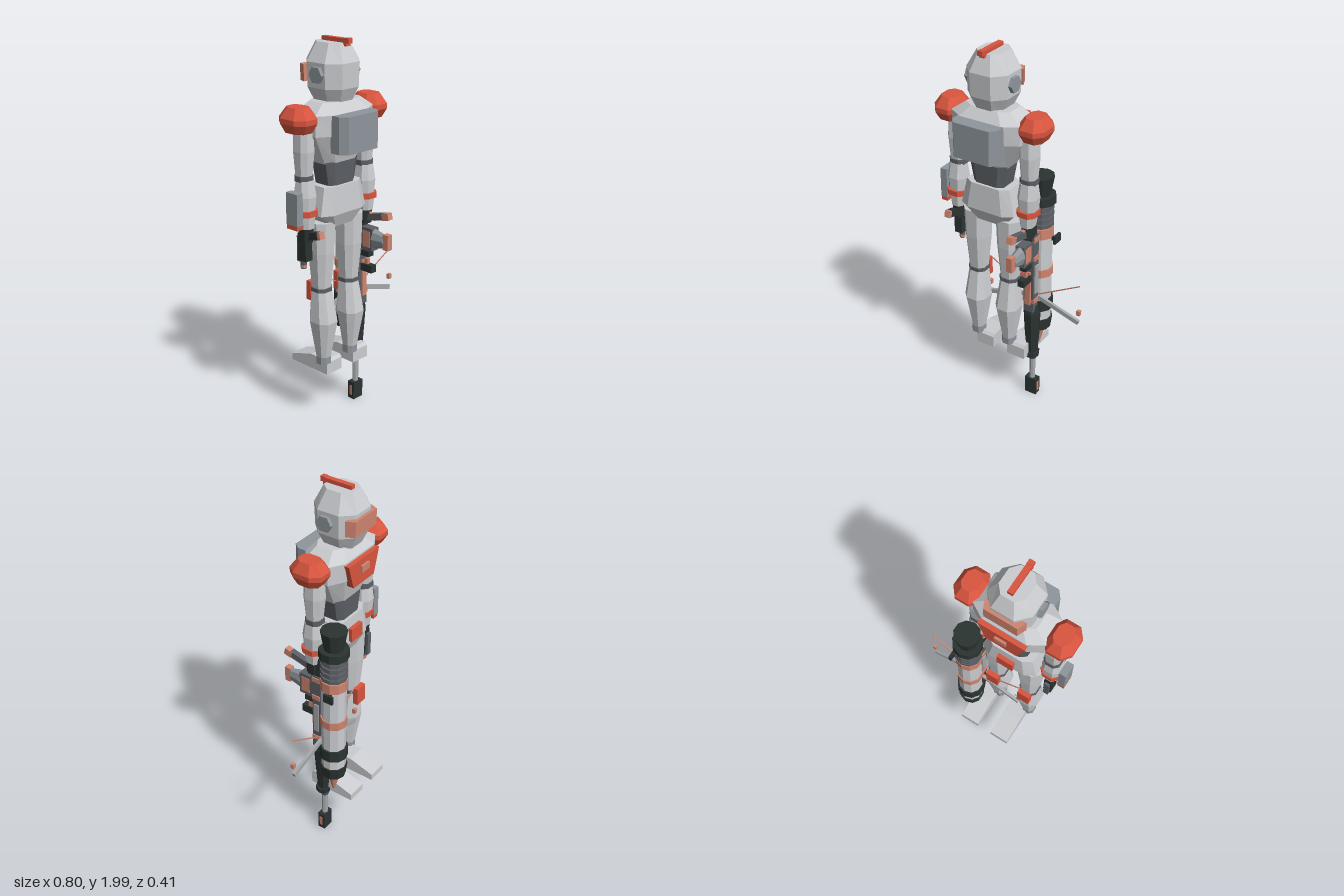
import * as THREE from 'three';

const paint = (name, color) => {
  const m = new THREE.MeshStandardMaterial({ color, flatShading: true });
  m.name = name;
  return m;
};
const M = {
  shell: paint('light grey shell', 0xcbcdd0),
  steel: paint('steel grey', 0x8f969c),
  metal: paint('gun grey', 0xa5a8aa),
  dark: paint('dark grey', 0x5c6066),
  black: paint('green black', 0x2b3432),
  red: paint('red', 0xd9553f),
  copper: paint('copper', 0xd08570),
};

// Faceted body through octagonal rings [y, halfX, halfZ, shiftX, shiftZ], bottom to top
function loft(parent, name, mat, x, z, rings, c = 0.5) {
  const pos = [];
  const corners = rings.map(([y, hx, hz, sx = 0, sz = 0]) =>
    [[1, -c], [1, c], [c, 1], [-c, 1], [-1, c], [-1, -c], [-c, -1], [c, -1]]
      .map(([a, b]) => [x + sx + a * hx, y, z + sz + b * hz]));
  const tri = (...p) => p.forEach((v) => pos.push(...v));
  for (let r = 0; r < corners.length - 1; r++) {
    const lo = corners[r], hi = corners[r + 1];
    for (let i = 0; i < 8; i++) {
      const j = (i + 1) % 8;
      tri(lo[i], hi[i], hi[j]);
      tri(lo[i], hi[j], lo[j]);
    }
  }
  const top = corners[corners.length - 1];
  for (let i = 1; i < 7; i++) {
    tri(corners[0][0], corners[0][i], corners[0][i + 1]);
    tri(top[0], top[i + 1], top[i]);
  }
  const g = new THREE.BufferGeometry();
  g.setAttribute('position', new THREE.Float32BufferAttribute(pos, 3));
  g.computeVertexNormals();
  return add(parent, name, g, mat);
}

function add(parent, name, geo, mat, x = 0, y = 0, z = 0) {
  const m = new THREE.Mesh(geo, mat);
  m.name = name;
  m.position.set(x, y, z);
  parent.add(m);
  return m;
}
const box = (p, n, mat, x, y, z, w, h, d) => add(p, n, new THREE.BoxGeometry(w, h, d), mat, x, y, z);

// Upright tube from y0 to y1
const tube = (p, n, mat, x, z, y0, y1, r0, r1 = r0, sides = 10) =>
  add(p, n, new THREE.CylinderGeometry(r1, r0, y1 - y0, sides), mat, x, (y0 + y1) / 2, z);

// Straight square bar between two points
function bar(p, n, mat, a, b, w, d = w) {
  const from = new THREE.Vector3(...a), to = new THREE.Vector3(...b);
  const m = box(p, n, mat, 0, 0, 0, w, from.distanceTo(to), d);
  m.position.copy(from).lerp(to, 0.5);
  m.quaternion.setFromUnitVectors(new THREE.Vector3(0, 1, 0), to.sub(from).normalize());
  return m;
}

// Flat outline in XY, given depth along z
function plate(p, n, mat, pts, depth, z) {
  const s = new THREE.Shape(pts.map(([a, b]) => new THREE.Vector2(a, b)));
  return add(p, n, new THREE.ExtrudeGeometry(s, { depth, bevelEnabled: false }), mat, 0, 0, z);
}

function group(parent, name) {
  const g = new THREE.Group();
  g.name = name;
  parent.add(g);
  return g;
}

function buildHead(body) {
  const head = group(body, 'head');
  loft(head, 'helmet', M.shell, 0, -0.01, [
    [1.69, 0.08, 0.085], [1.76, 0.112, 0.115], [1.88, 0.115, 0.12], [1.97, 0.068, 0.08]]);
  box(head, 'crest', M.red, 0, 1.972, 0.01, 0.028, 0.035, 0.16);
  bar(head, 'crestBack', M.red, [0, 1.98, 0.08], [0, 1.98, 0.105], 0.028, 0.025);
  for (const s of [-1, 1]) {
    const ear = add(head, 'earDisc', new THREE.CylinderGeometry(0.042, 0.042, 0.03, 6), M.steel, s * 0.118, 1.825, 0.003);
    ear.rotation.z = Math.PI / 2;
  }
  // Visor wraps round the face
  const visor = plate(head, 'visor', M.copper,
    [[-0.105, 0.1], [-0.085, 0.145], [0.085, 0.145], [0.105, 0.1]].reverse(), 0.08, 0);
  visor.rotation.x = -Math.PI / 2;
  visor.position.y = 1.78;
}

function buildTorso(body) {
  const torso = group(body, 'torso');
  loft(torso, 'chest', M.shell, 0, 0, [
    [1.4, 0.11, 0.07], [1.55, 0.195, 0.11], [1.65, 0.195, 0.115], [1.7, 0.125, 0.075]], 0.6);
  loft(torso, 'waist', M.dark, 0, 0, [[1.27, 0.085, 0.065], [1.42, 0.112, 0.072]], 0.65);
  loft(torso, 'pelvis', M.shell, 0, 0, [
    [1.08, 0.09, 0.06], [1.15, 0.155, 0.09], [1.29, 0.125, 0.08]], 0.65);
  // Backpack slab with clipped corners
  const pack = plate(torso, 'backpack', M.steel,
    [[-0.128, -0.10], [0.128, -0.10], [0.128, -0.155], [0.1, -0.19], [-0.1, -0.19], [-0.128, -0.155]], 0.18, 0);
  pack.rotation.x = -Math.PI / 2;
  pack.position.y = 1.47;
  plate(torso, 'chestPlate', M.red,
    [[-0.085, 1.51], [0.085, 1.51], [0.125, 1.64], [-0.125, 1.64]], 0.04, -0.138);
  box(torso, 'chestButton', M.copper, 0, 1.59, -0.14, 0.06, 0.035, 0.02);
  box(torso, 'beltPlate', M.red, 0, 1.2, -0.093, 0.09, 0.075, 0.025);
}

function buildLimbs(body, s) {
  const leg = group(body, s > 0 ? 'leftLeg' : 'rightLeg');
  const lx = s * 0.097;
  loft(leg, 'thigh', M.shell, lx, 0, [[0.76, 0.045, 0.045], [0.95, 0.06, 0.062], [1.11, 0.066, 0.066]]);
  loft(leg, 'kneeRing', M.dark, lx, 0, [[0.742, 0.05, 0.05], [0.762, 0.05, 0.05]]);
  loft(leg, 'shin', M.shell, lx, 0, [
    [0.38, 0.033, 0.036, 0, 0.01], [0.58, 0.063, 0.068, 0, 0.012], [0.745, 0.046, 0.048]]);
  loft(leg, 'ankle', M.steel, lx, 0.01, [[0.34, 0.035, 0.035], [0.382, 0.035, 0.035]]);
  box(leg, 'kneePad', M.red, lx, 0.73, -0.058, 0.07, 0.1, 0.03);
  const foot = plate(leg, 'foot', M.shell,
    [[-0.088, 0.275], [0.17, 0.275], [0.17, 0.312], [0.03, 0.355], [-0.075, 0.355], [-0.088, 0.34]], 0.108, -0.054);
  foot.rotation.y = Math.PI / 2;
  foot.position.x = lx;
  foot.geometry.translate(0, 0, 0);

  const arm = group(body, s > 0 ? 'leftArm' : 'rightArm');
  const ax = s * 0.208;
  loft(arm, 'shoulderPad', M.red, s * 0.24, 0, [
    [1.575, 0.052, 0.064], [1.62, 0.073, 0.09], [1.645, 0.073, 0.09], [1.695, 0.042, 0.055]]);
  loft(arm, 'upperArm', M.shell, ax, 0, [[1.36, 0.038, 0.038], [1.48, 0.045, 0.05], [1.6, 0.04, 0.045]]);
  loft(arm, 'elbowRing', M.dark, ax, 0, [[1.335, 0.043, 0.043], [1.362, 0.043, 0.043]]);
  loft(arm, 'forearm', M.shell, ax, 0.005, [[1.19, 0.044, 0.046], [1.26, 0.05, 0.052], [1.34, 0.04, 0.04]]);
  loft(arm, 'wristBand', M.red, ax, 0.008, [[1.165, 0.053, 0.056], [1.193, 0.053, 0.056]]);
  loft(arm, 'cuff', M.shell, ax, 0.008, [[1.1, 0.034, 0.04], [1.167, 0.042, 0.046]]);
  loft(arm, 'hand', M.black, ax, 0.008, [[1.03, 0.026, 0.035], [1.115, 0.03, 0.04]]);
}

// Sidearm hanging from the right hand, with the box on that forearm
function buildSidearm(body) {
  const g = group(body, 'sidearm');
  const x = -0.208;
  box(g, 'forearmBox', M.steel, x - 0.07, 1.21, 0.005, 0.038, 0.16, 0.075);
  box(g, 'forearmBoxEnd', M.red, x - 0.07, 1.12, 0.005, 0.036, 0.022, 0.07);
  box(g, 'forearmMount', M.dark, x - 0.05, 1.21, 0.005, 0.02, 0.06, 0.04);
  box(g, 'pistolBody', M.black, x, 1.0, 0.0, 0.044, 0.14, 0.055);
  box(g, 'pistolSlide', M.dark, x, 0.985, -0.03, 0.028, 0.13, 0.025);
  bar(g, 'pistolGrip', M.black, [x, 1.06, 0.02], [x, 1.08, 0.1], 0.03, 0.036);
  bar(g, 'pistolGripCap', M.copper, [x, 1.08, 0.1], [x, 1.084, 0.118], 0.032, 0.036);
  tube(g, 'pistolBarrel', M.dark, x, -0.01, 0.885, 0.94, 0.014, 0.018, 8);
  tube(g, 'pistolMuzzle', M.copper, x, -0.01, 0.89, 0.905, 0.016, 0.016, 8);
}

// Launcher tube standing muzzle up: [name, colour, y0, y1, r0, r1]
function buildLauncher(root) {
  const g = group(root, 'launcher');
  const x = 0.12, z = -0.112;
  [['flare', M.black, 1.225, 1.33, 0.05, 0.068], ['collar', M.black, 1.18, 1.225, 0.078, 0.078],
    ['ribCore', M.dark, 1.045, 1.18, 0.058, 0.058], ['upperBand', M.copper, 0.99, 1.045, 0.07, 0.07],
    ['mainTube', M.shell, 0.49, 0.99, 0.064, 0.064], ['middleBand', M.copper, 0.76, 0.805, 0.07, 0.07],
    ['lowerBand', M.black, 0.55, 0.615, 0.074, 0.074], ['tailBand', M.black, 0.42, 0.49, 0.062, 0.072],
    ['warhead', M.copper, 0.31, 0.42, 0.008, 0.035],
  ].forEach(([n, m, a, b, r0, r1]) => tube(g, n, m, x, z, a, b, r0, r1));
  for (let i = 0; i < 4; i++) tube(g, 'rib', M.dark, x, z, 1.052 + i * 0.033, 1.072 + i * 0.033, 0.069);
  box(g, 'sideSight', M.black, 0.203, 0.975, -0.137, 0.014, 0.045, 0.055);
  box(g, 'sideSightArm', M.black, 0.185, 0.975, -0.13, 0.03, 0.02, 0.02);
  box(g, 'topClip', M.copper, 0.12, 1.2, -0.035, 0.04, 0.04, 0.02);
}

// Long rifle pointing down, held in the left hand
function buildRifle(root) {
  const g = group(root, 'rifle');
  const x = 0.12, z = -0.052;
  box(g, 'muzzle', M.black, x, 0.05, z, 0.068, 0.1, 0.042);
  box(g, 'muzzlePort', M.copper, x, 0.05, z, 0.074, 0.055, 0.018);
  tube(g, 'barrel', M.metal, x, z, 0.09, 0.4, 0.016, 0.018, 8);
  tube(g, 'barrelCollar', M.black, x, z + 0.008, 0.262, 0.29, 0.04, 0.042, 8);
  tube(g, 'barrelSleeve', M.dark, x, z, 0.235, 0.262, 0.022, 0.03, 8);
  loft(g, 'foreEnd', M.black, x, -0.045, [[0.29, 0.026, 0.03], [0.44, 0.036, 0.04], [0.55, 0.04, 0.048], [0.6, 0.03, 0.035]]);
  box(g, 'receiver', M.dark, x, 0.8, -0.025, 0.058, 0.46, 0.05);
  box(g, 'receiverRail', M.copper, x, 0.72, 0.004, 0.032, 0.2, 0.014);
  box(g, 'stock', M.black, x, 1.06, -0.015, 0.046, 0.16, 0.05);
  for (const y of [0.64, 0.9, 1.01]) box(g, 'receiverBand', M.copper, x, y, -0.024, 0.07, 0.025, 0.048);
  for (const s of [-1, 1]) box(g, 'sidePlate', M.metal, x + s * 0.031, 0.77, -0.025, 0.008, 0.17, 0.03);
  // Magazine and sight stack
  box(g, 'magazineWell', M.dark, x, 0.95, 0.04, 0.05, 0.12, 0.085);
  box(g, 'magazineTrim', M.copper, x, 0.95, 0.045, 0.056, 0.085, 0.05);
  const mag = add(g, 'magazine', new THREE.CylinderGeometry(0.038, 0.055, 0.07, 8), M.steel, x, 0.955, 0.115);
  mag.rotation.x = Math.PI / 2;
  mag.scale.x = 0.55;
  box(g, 'magazineCap', M.copper, x, 0.955, 0.166, 0.032, 0.082, 0.034);
  bar(g, 'grip', M.dark, [x, 1.055, 0.01], [x, 1.09, 0.15], 0.03, 0.034);
  bar(g, 'gripCap', M.copper, [x, 1.085, 0.14], [x, 1.096, 0.182], 0.033, 0.036);
  bar(g, 'lever', M.copper, [x, 1.1, 0.01], [x, 1.06, 0.09], 0.018);
  box(g, 'frontSight', M.black, x, 0.785, 0.035, 0.036, 0.04, 0.08);
  box(g, 'frontSightPost', M.copper, x, 0.82, 0.03, 0.02, 0.03, 0.02);
  box(g, 'trigger', M.black, x, 0.865, 0.03, 0.04, 0.03, 0.05);
  // Folded-out legs, feelers and end caps
  for (const s of [-1, 1]) {
    bar(g, 'sideLeg', M.metal, [x + s * 0.03, 0.642, -0.057], [x + s * 0.27, 0.57, -0.057], 0.024, 0.016);
    bar(g, 'feeler', M.copper, [x + s * 0.03, 0.66, -0.055], [x + s * 0.27, 0.795, -0.055], 0.005);
    box(g, 'endCap', M.copper, x + s * 0.27, 0.633, -0.055, 0.02, 0.028, 0.018);
  }
}

export function createModel() {
  const root = new THREE.Group();
  root.name = 'armouredRobot';
  const body = group(root, 'body');
  body.position.x = -0.087;
  buildHead(body);
  buildTorso(body);
  for (const s of [-1, 1]) buildLimbs(body, s);
  buildSidearm(body);
  buildLauncher(root);
  buildRifle(root);
  return root;
}
